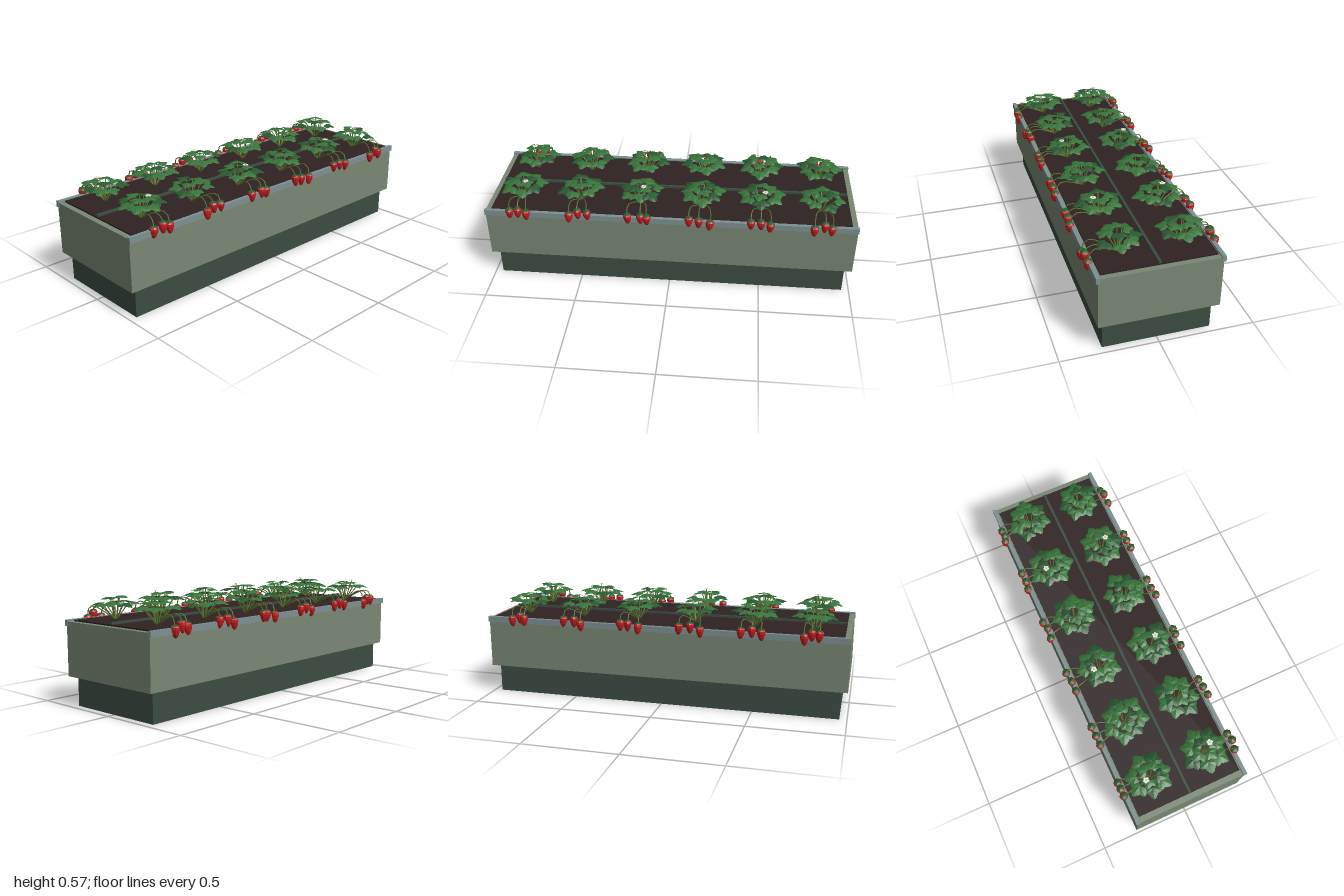
import * as THREE from 'three';
import { mergeGeometries } from 'three/addons/utils/BufferGeometryUtils.js';

const mat = (name, color, opts = {}) => {
  const m = new THREE.MeshStandardMaterial({ color, ...opts });
  m.name = name;
  return m;
};
const V = (x, y, z) => new THREE.Vector3(x, y, z);

// Small seeded random source
let seed = 7;
const rand = (a, b) => {
  seed = (seed * 16807) % 2147483647;
  return a + (b - a) * (seed / 2147483647);
};

// Pointed leaflet along +z: folded on the midrib, with a notched edge and drooping tip
function leafletGeometry(length) {
  const rows = [[0, 0.02], [0.18, 0.27], [0.38, 0.43], [0.43, 0.37], [0.62, 0.4], [0.67, 0.31], [0.83, 0.24], [1, 0]];
  const pos = [];
  const point = (i, side) => {
    const [t, w] = rows[i];
    return [side * w * length, (0.1 * t - 0.32 * t * t - Math.abs(side) * w * 0.25) * length, t * length];
  };
  for (let i = 0; i < rows.length - 1; i++) {
    for (const s of [1, -1]) {
      const a = point(i, 0), b = point(i + 1, 0), c = point(i, s), d = point(i + 1, s);
      const tris = s > 0 ? [a, b, c, c, b, d] : [a, c, b, c, d, b];
      tris.forEach((p) => pos.push(...p));
    }
  }
  const g = new THREE.BufferGeometry();
  g.setAttribute('position', new THREE.Float32BufferAttribute(pos, 3));
  g.computeVertexNormals();
  return g;
}

// Three leaflets spread from one point
function leafGeometry(length) {
  return mergeGeometries([-1.2, 0, 1.2].map((a) => leafletGeometry(a ? length * 0.88 : length).rotateY(a)));
}

// Thin stem through a few points
function stemGeometry(points, radius) {
  return new THREE.TubeGeometry(new THREE.CatmullRomCurve3(points), points.length > 2 ? 7 : 1, radius, 5);
}

export function createModel() {
  const group = new THREE.Group();
  const mats = {
    tub: mat('sage tub', 0x7a8774),
    base: mat('dark green base', 0x3c4c42),
    rail: mat('grey rail', 0x7e9092),
    soil: mat('soil', 0x2e2222),
    leaf: mat('leaf green', 0x37733a, { side: THREE.DoubleSide, flatShading: true }),
    darkLeaf: mat('dark leaf green', 0x28592f, { side: THREE.DoubleSide, flatShading: true }),
    stem: mat('stem olive', 0x5f7533),
    berry: mat('berry red', 0xc01f1f, { flatShading: true }),
    petal: mat('petal white', 0xe8e8ea, { side: THREE.DoubleSide }),
    pollen: mat('pollen yellow', 0xd8b53a),
  };
  const add = (name, geometry, material, parent = group) => {
    const m = new THREE.Mesh(geometry, material);
    m.name = name;
    parent.add(m);
    return m;
  };
  const box = (name, material, w, h, d, x, y, z) =>
    add(name, new THREE.BoxGeometry(w, h, d).translate(x, y, z), material);

  // Planter: recessed plinth, floor, walls, rails, soil and watering pipe
  box('base', mats.base, 1.92, 0.156, 0.558, 0, 0.078, 0);
  box('tubFloor', mats.tub, 1.994, 0.03, 0.616, 0, 0.171, 0);
  for (const s of [1, -1]) {
    box('longWall', mats.tub, 1.994, 0.25, 0.018, 0, 0.311, s * 0.299);
    box('endWall', mats.tub, 0.03, 0.25, 0.58, s * 0.982, 0.311, 0);
    box('rail', mats.rail, 2, 0.031, 0.021, 0, 0.429, s * 0.3075);
  }
  box('soil', mats.soil, 1.934, 0.25, 0.58, 0, 0.318, 0);
  box('wateringPipe', mats.base, 1.93, 0.015, 0.014, 0, 0.447, 0);

  // Berry profile, tip down, top at y = 0
  const berryGeometry = new THREE.LatheGeometry(
    [[0, -0.064], [0.008, -0.06], [0.016, -0.045], [0.022, -0.025], [0.022, -0.012], [0.014, -0.002], [0, 0]]
      .map(([r, y]) => new THREE.Vector2(r, y)), 9);
  const calyxGeometry = mergeGeometries([0, 1, 2, 3, 4].map((i) =>
    leafletGeometry(0.024).rotateX(0.2).rotateY(i * Math.PI * 0.4)));

  function createPlant(flowering) {
    const plant = new THREE.Group();
    plant.name = 'strawberryPlant';
    const stems = [], light = [], dark = [];

    // Outer and inner whorls of three-part leaves on spreading stalks
    const whorl = (count, radius, height, length, tilt, offset) => {
      for (let i = 0; i < count; i++) {
        const a = offset + (i / count) * Math.PI * 2 + rand(-0.16, 0.16);
        const r = radius * rand(0.85, 1.12);
        const y = height + rand(-0.009, 0.008);
        const tip = V(Math.sin(a) * r, y, Math.cos(a) * r);
        stems.push(stemGeometry([V(Math.sin(a) * 0.006, 0, Math.cos(a) * 0.006), tip], 0.003));
        const leaf = leafGeometry(length * rand(0.9, 1.1)).rotateX(tilt).rotateY(a).translate(tip.x, tip.y, tip.z);
        (i % 3 === 1 ? dark : light).push(leaf);
      }
    };
    const turn = rand(0, 6.28);
    whorl(7, 0.073, 0.088, 0.058, 0.1, turn);
    whorl(4, 0.03, 0.112, 0.05, -0.05, turn + 0.4);

    // Fruit stalks arching over the rail (+z side of the plant)
    [-0.05, 0.002, 0.045].forEach((bx, i) => {
      const x = bx + rand(-0.012, 0.012);
      const top = V(x, (i === 1 ? 0.035 : 0.026) + rand(-0.014, 0.008), 0.163 + rand(-0.004, 0.006));
      stems.push(stemGeometry([V(0, 0, 0), V(x * 0.5, 0.04, 0.07), V(x * 0.85, 0.061, 0.118), V(x, 0.055, 0.147), top], 0.003));
      const fruit = new THREE.Group();
      fruit.name = 'strawberry';
      fruit.position.copy(top);
      fruit.rotation.set(rand(-0.15, 0.05), rand(0, 1), rand(-0.12, 0.12));
      add('berry', berryGeometry, mats.berry, fruit);
      add('calyx', calyxGeometry, mats.darkLeaf, fruit).position.y = 0.003;
      plant.add(fruit);
    });

    // Five-petalled flower above the leaves
    if (flowering) {
      const flower = new THREE.Group();
      flower.name = 'flower';
      flower.position.set(0.02, 0.12, 0.035);
      for (let i = 0; i < 5; i++) {
        const a = i * Math.PI * 0.4;
        add('petal', new THREE.CircleGeometry(0.007, 8).rotateX(-Math.PI / 2)
          .translate(Math.sin(a) * 0.01, 0, Math.cos(a) * 0.01), mats.petal, flower);
      }
      add('flowerCentre', new THREE.SphereGeometry(0.005, 8, 5).scale(1, 0.6, 1), mats.pollen, flower);
      stems.push(stemGeometry([V(0, 0, 0), V(0.02, 0.119, 0.035)], 0.002));
      plant.add(flower);
    }
    // Straight stalks and curved stalks share one mesh
    add('stems', mergeGeometries(stems), mats.stem, plant);
    add('leaves', mergeGeometries(light), mats.leaf, plant);
    add('darkLeaves', mergeGeometries(dark), mats.darkLeaf, plant);
    return plant;
  }

  // Two rows of six plants, fruit facing outward
  for (const side of [1, -1]) {
    [-0.81, -0.49, -0.165, 0.165, 0.485, 0.81].forEach((x, i) => {
      const plant = createPlant(i % 2 === 0);
      plant.position.set(x, 0.443, side * 0.155);
      if (side < 0) plant.rotation.y = Math.PI;
      group.add(plant);
    });
  }
  return group;
}
